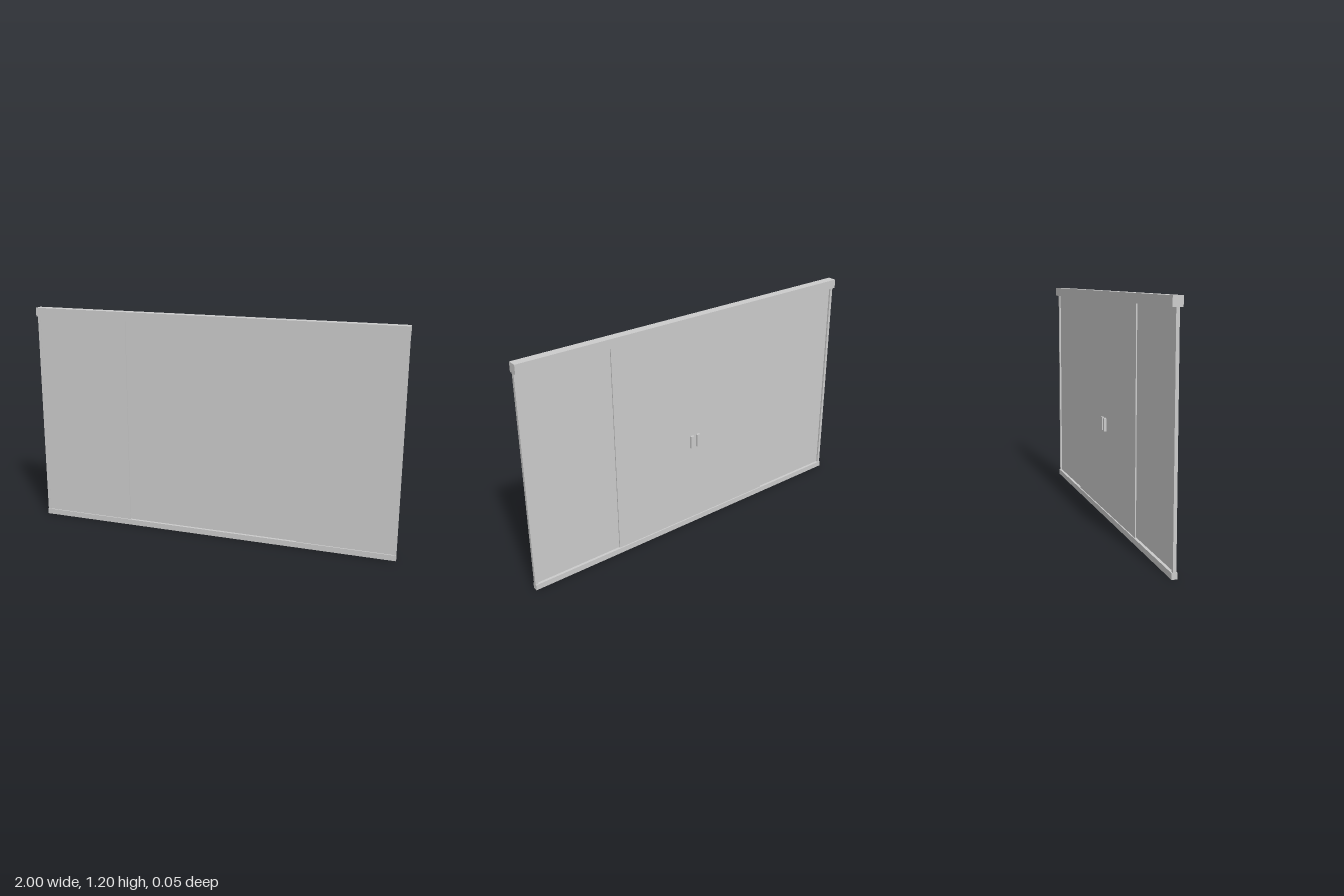
import * as THREE from 'three';

const material = new THREE.MeshStandardMaterial({ color: 0xcccccc, flatShading: true });

// Box given by its minimum and maximum on each axis
function box(name, [x0, x1], [y0, y1], [z0, z1]) {
  const mesh = new THREE.Mesh(new THREE.BoxGeometry(x1 - x0, y1 - y0, z1 - z0), material);
  mesh.position.set((x0 + x1) / 2, (y0 + y1) / 2, (z0 + z1) / 2);
  mesh.name = name;
  return mesh;
}

export function createModel() {
  const model = new THREE.Group();
  model.name = 'slidingDoor';

  const railTop = 0.03, headBottom = 1.152, height = 1.2;
  const opening = [railTop, headBottom];

  // Head track and floor rail
  model.add(box('headTrack', [-1, 1], [headBottom, height], [-0.024, 0.024]));
  model.add(box('floorRail', [-1, 1], [0, railTop], [-0.0135, 0.0135]));

  // Mirrored halves: jamb, fixed outer panel, sliding leaf with its pull bar
  for (const side of [-1, 1]) {
    const span = (a, b) => (side > 0 ? [a, b] : [-b, -a]);
    const prefix = side > 0 ? 'left' : 'right';
    model.add(box(prefix + 'Jamb', span(0.984, 1), opening, [-0.008, 0.008]));
    model.add(box(prefix + 'FixedPanel', span(0.478, 0.984), opening, [0.001, 0.007]));
    model.add(box(prefix + 'SlidingLeaf', span(0, 0.5), opening, [-0.007, -0.001]));
    model.add(box(prefix + 'Handle', span(0.01, 0.03), [0.466, 0.536], [-0.02, -0.007]));
  }
  return model;
}
